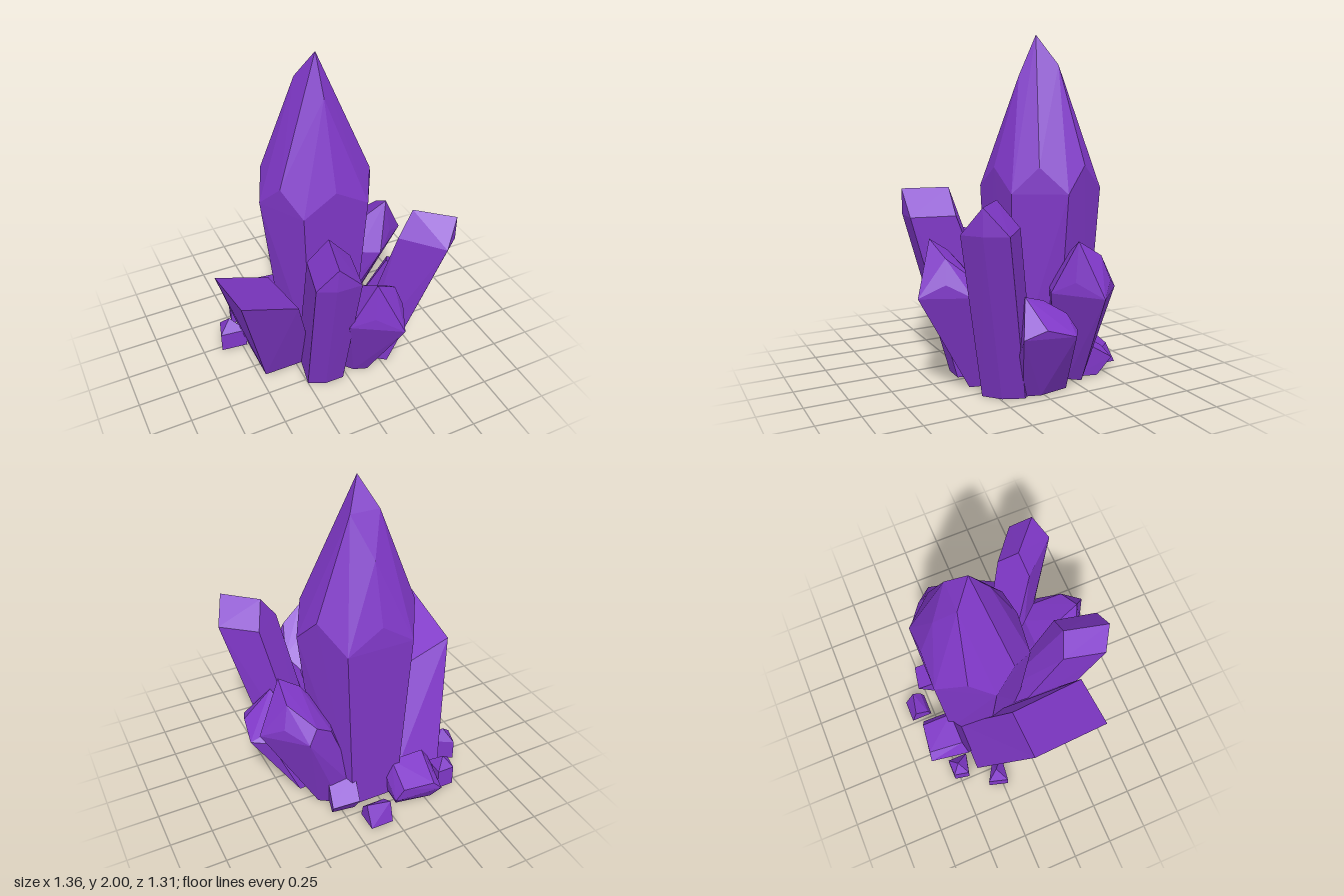
import * as THREE from 'three';
import { ConvexGeometry } from 'three/addons/geometries/ConvexGeometry.js';

export function createModel() {
  const group = new THREE.Group();
  group.name = 'crystalCluster';
  const purple = new THREE.MeshStandardMaterial({ color: 0x8038c8 });
  purple.name = 'amethystPurple';

  // a crystal is the hull of its few corners: foot [x, z] on the ground, then [x, y, z] above
  function crystal(name, foot, upper, place = p => p) {
    const corners = [...foot.map(([x, z]) => [x, 0, z]), ...upper];
    const mesh = new THREE.Mesh(
      new ConvexGeometry(corners.map(c => place(new THREE.Vector3(...c)))), purple);
    mesh.name = name;
    group.add(mesh);
  }
  const ring = (y, pts) => pts.map(([x, z]) => [x, y, z]);

  // tall central spire: tapered hexagonal shaft with a cut, faceted point
  crystal('mainSpire',
    [[-0.22, -0.17], [-0.13, 0.07], [0.17, 0.07], [0.27, -0.17], [0.17, -0.43], [-0.13, -0.43]],
    [
      ...ring(1.12, [[-0.34, -0.17], [-0.18, 0.105], [0.23, 0.105], [0.39, -0.17], [0.23, -0.48], [-0.17, -0.48]]),
      ...ring(1.27, [[-0.27, -0.31], [-0.265, -0.03], [0.305, -0.03], [0.33, -0.31]]),
      [0.02, 1.25, 0.11], [0.02, 1.25, -0.475], [0.02, 1.6, -0.375],
      [-0.065, 1.83, -0.26], [0.11, 1.83, -0.26], [0.02, 1.77, -0.05], [0.02, 2, -0.16],
    ]);

  // broad slab leaning out on the right
  crystal('leaningSlab',
    [[-0.46, 0.1], [-0.13, 0.1], [-0.13, -0.37], [-0.46, -0.37]],
    [[-0.68, 0.87, 0.385], [-0.345, 0.75, 0.385], [-0.345, 0.63, -0.07], [-0.68, 0.75, -0.07]]);

  // two gable-topped columns leaning outwards at the front
  crystal('frontColumn',
    [[-0.25, 0.28], [-0.15, 0.33], [-0.03, 0.33], [0.02, 0.1], [-0.02, -0.05], [-0.2, 0.02]],
    [
      ...ring(0.98, [[-0.31, 0.54], [-0.21, 0.59], [-0.06, 0.595], [-0.005, 0.34], [-0.25, 0.29]]),
      [-0.2, 1.13, 0.595], [-0.135, 1.13, 0.33],
    ]);
  crystal('leftColumn',
    [[0.43, 0.12], [0.38, 0.24], [0.29, 0.32], [0.16, 0.22], [0.13, 0.11], [0.28, -0.02]],
    [
      ...ring(0.98, [[0.675, 0.34], [0.61, 0.46], [0.51, 0.54], [0.315, 0.32], [0.48, 0.18]]),
      [0.42, 1.13, 0.29], [0.61, 1.13, 0.46],
    ]);

  // short hexagonal crystal with a lopsided faceted tip, used twice
  const shortFoot = [[0, 0.1], [0, 0.23], [0.06, 0.3], [0.14, 0.33], [0.17, 0.2], [0.12, 0.05]];
  const shortTop = [
    ...ring(0.58, [[-0.075, 0.49], [0.195, 0.655], [0.315, 0.38], [0.2, 0.25], [0.03, 0.25], [-0.06, 0.35]]),
    ...ring(0.655, [[0.05, 0.565], [0.255, 0.515], [0.26, 0.335]]),
    [0.07, 0.88, 0.535], [0.205, 0.79, 0.495], [0.045, 0.8, 0.415],
  ];
  const tip = new THREE.Vector3(0.07, 0, 0.535);
  const movedTip = new THREE.Vector3(0.51, 0, -0.165);
  const up = new THREE.Vector3(0, 1, 0);
  crystal('frontShortCrystal', shortFoot, shortTop);
  crystal('leftShortCrystal', shortFoot, shortTop,
    p => p.sub(tip).applyAxisAngle(up, THREE.MathUtils.degToRad(70)).add(movedTip));

  // low wedge leaning to the left side
  crystal('lowWedge',
    [[0.43, 0.02], [0.4, 0.12], [0.25, 0.13], [0.2, -0.15], [0.4, -0.16]],
    [
      [0.6, 0.4, 0.22], [0.64, 0.45, 0.1], [0.665, 0.4, -0.065], [0.565, 0.4, -0.13],
      [0.45, 0.59, 0.135], [0.43, 0.55, 0.01], [0.5, 0.48, -0.1],
    ]);

  // stubby pieces along the back
  crystal('backBlock',
    [[-0.29, -0.57], [-0.07, -0.53], [-0.08, -0.36], [-0.33, -0.36]],
    [
      [-0.32, 0.11, -0.64], [-0.035, 0.08, -0.59], [-0.06, 0.15, -0.4], [-0.37, 0.15, -0.39],
      [-0.27, 0.16, -0.63], [-0.08, 0.16, -0.605], [-0.1, 0.235, -0.41], [-0.31, 0.235, -0.41],
    ]);
  crystal('backLeftBlock',
    [[0.17, -0.45], [0.31, -0.43], [0.27, -0.28], [0.14, -0.3]],
    [[0.18, 0.13, -0.54], [0.34, 0.11, -0.51], [0.3, 0.21, -0.35], [0.14, 0.23, -0.38]]);
  crystal('backWedge',
    [[0.02, -0.655], [0.16, -0.655], [0.16, -0.52], [0.02, -0.52]],
    [[0.02, 0.13, -0.62], [0.16, 0.13, -0.59], [0.02, 0.08, -0.54], [0.16, 0.08, -0.54]]);

  // two tiny pointed shards
  const shards = [
    ['backShard', [[-0.47, -0.535], [-0.365, -0.535], [-0.365, -0.41], [-0.49, -0.44]], [-0.42, 0.2, -0.485]],
    ['sideShard', [[-0.6, -0.34], [-0.5, -0.28], [-0.47, -0.2], [-0.635, -0.22]], [-0.555, 0.21, -0.27]],
  ];
  for (const [name, outline, point] of shards)
    crystal(name, outline, [...ring(0.13, outline), point]);

  return group;
}
